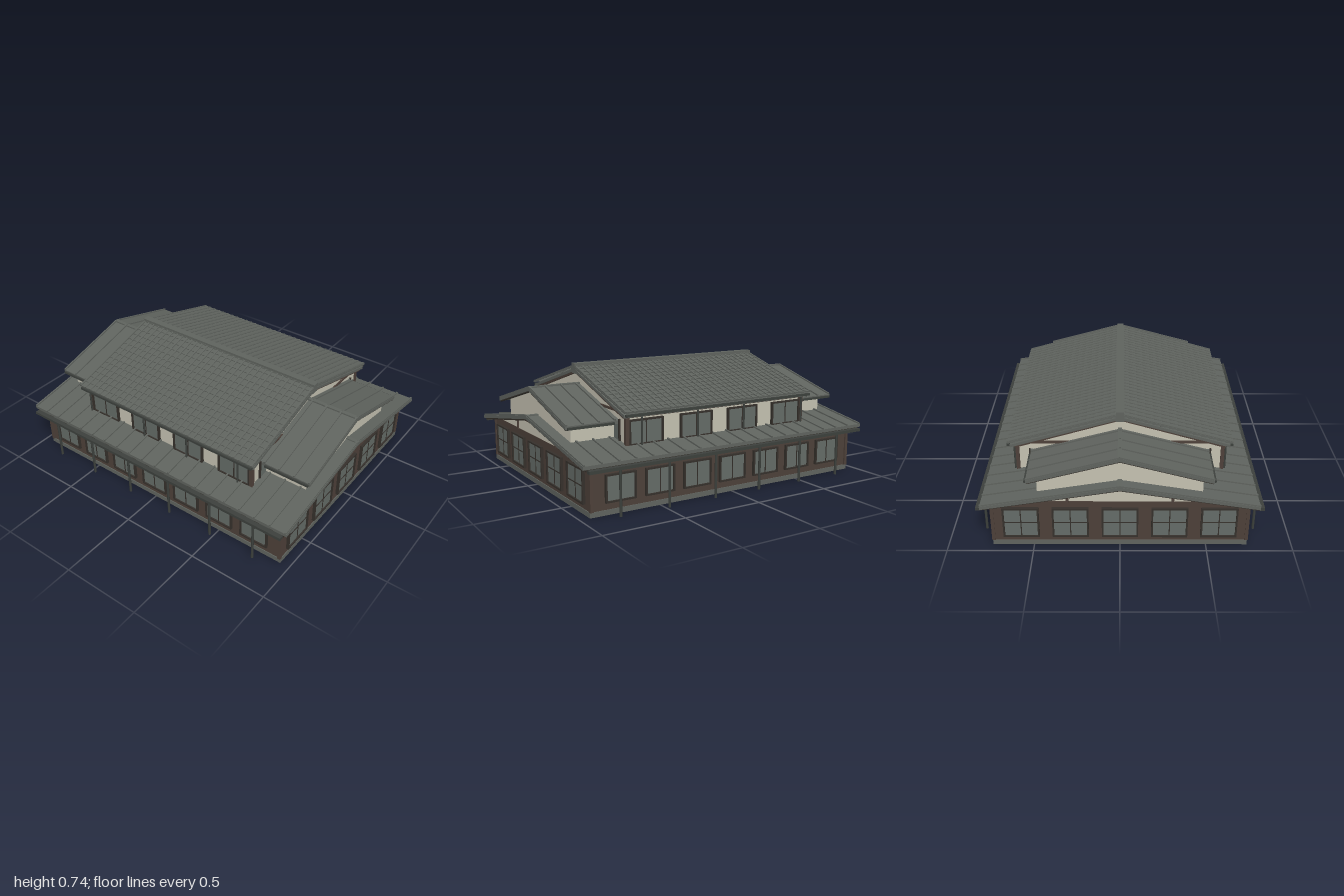
import * as THREE from 'three';

const mat = (name, color) => Object.assign(new THREE.MeshStandardMaterial({ color }), { name });

export function createModel() {
  const root = new THREE.Group();
  root.name = 'house';
  const roofGrey = mat('roof grey', 0x5f635e);
  const glass = mat('window glass', 0x646b67);
  const cream = mat('cream plaster', 0xc4c1b1);
  const brown = mat('brown timber', 0x4d4039);
  const dark = mat('dark timber', 0x35302b);
  const metal = mat('dark gutter metal', 0x3c403c);

  const box = (name, m, w, h, d, x, y, z, parent = root) => {
    const mesh = new THREE.Mesh(new THREE.BoxGeometry(w, h, d), m);
    mesh.name = name;
    mesh.position.set(x, y, z);
    parent.add(mesh);
    return mesh;
  };

  // Extrudes an outline in x,y along z between z0 and z1
  const prism = (name, m, pts, z0, z1) => {
    const shape = new THREE.Shape(pts.map(p => new THREE.Vector2(p[0], p[1])));
    const geo = new THREE.ExtrudeGeometry(shape, { depth: z1 - z0, bevelEnabled: false });
    const mesh = new THREE.Mesh(geo, m);
    mesh.name = name;
    mesh.position.z = z0;
    root.add(mesh);
  };

  // Gable wall block: rectangle with a pitched top
  const gableBlock = (name, m, w, y0, yEave, yTop, z) =>
    prism(name, m, [[-w, y0], [w, y0], [w, yEave], [0, yTop], [-w, yEave]], -z, z);

  // Chevron slab of vertical thickness t
  const chevron = (name, m, w, yEave, yTop, t, z0, z1) =>
    prism(name, m, [[-w, yEave - t], [0, yTop - t], [w, yEave - t], [w, yEave], [0, yTop], [-w, yEave]], z0, z1);

  // Box laid on both roof slopes, from ridge fraction a to eave fraction b
  const slopeBars = (name, m, w, yEave, yTop, a, b, z, depth, h, lift = 0, tilt = 0) => {
    const ang = Math.atan2(yTop - yEave, w), len = Math.hypot(w, yTop - yEave) * (b - a);
    const f = (a + b) / 2;
    for (const s of [-1, 1]) {
      const bar = box(name, m, len, h, depth, s * w * f, yTop + (yEave - yTop) * f + lift, z);
      bar.rotation.z = -s * (ang - tilt);
    }
  };

  // Window facing +z, turned by ry
  const addWindow = (name, x, y, z, ry, w, h, crossbar) => {
    const g = new THREE.Group();
    g.name = name;
    const t = 0.01;
    box('windowGlass', glass, w, h, 0.008, 0, 0, 0.004, g);
    for (const s of [-1, 1]) {
      box('windowJamb', dark, t, h + t, 0.022, s * w / 2, 0, 0.006, g);
      box('windowRail', dark, w, t, 0.022, 0, s * h / 2, 0.006, g);
    }
    box('windowMullion', dark, 0.006, h, 0.014, 0, 0, 0.004, g);
    if (crossbar) box('windowCrossbar', dark, w, 0.006, 0.014, 0, 0, 0.004, g);
    g.position.set(x, y, z);
    g.rotation.y = ry;
    root.add(g);
  };

  const pipe = (name, r, y0, y1, x, z) => {
    const mesh = new THREE.Mesh(new THREE.CylinderGeometry(r, r, y1 - y0, 8), metal);
    mesh.name = name;
    mesh.position.set(x, (y0 + y1) / 2, z);
    root.add(mesh);
  };

  // Ground floor
  box('foundation', roofGrey, 1.48, 0.03, 1.88, 0, 0.015, 0);
  box('lowerWall', brown, 1.47, 0.27, 1.87, 0, 0.165, 0);
  gableBlock('lowerGable', cream, 0.73, 0.29, 0.292, 0.412, 0.933);
  for (const s of [-1, 1]) {
    const ry = s > 0 ? 0 : Math.PI;
    for (let i = -2; i <= 2; i++)
      addWindow('lowerEndWindow', i * 0.285, 0.16, s * 0.935, ry, 0.2, 0.19, true);
    for (let k = -3; k <= 3; k++) {
      addWindow('lowerSideWindow', s * 0.735, 0.15, k * 0.251, s * Math.PI / 2, 0.18, 0.15, false);
    }
    box('gableTie', brown, 0.44, 0.016, 0.012, 0, 0.38, s * 0.936);
    for (const x of [-0.3, 0.3]) box('gableStrut', brown, 0.014, 0.08, 0.012, x, 0.335, s * 0.936);
    for (const z of [-0.93, 0.93]) box('lowerCornerPost', brown, 0.02, 0.26, 0.02, s * 0.735, 0.16, z);
  }

  // Lower roof with standing seams, gutters and downpipes
  chevron('lowerRoof', roofGrey, 0.79, 0.306, 0.437, 0.02, -1, 1);
  for (let i = 0; i <= 19; i++)
    slopeBars('lowerRoofSeam', roofGrey, 0.79, 0.306, 0.437, 0, 1, -0.992 + i * 0.1044, 0.01, 0.012, 0.003);
  for (const z of [-0.985, 0.985])
    slopeBars('lowerBargeboard', dark, 0.78, 0.284, 0.413, 0, 1, z, 0.012, 0.012);
  box('lowerRidgeCap', roofGrey, 0.025, 0.012, 2, 0, 0.436, 0);
  for (const s of [-1, 1]) {
    box('lowerGutter', metal, 0.03, 0.018, 1.95, s * 0.803, 0.274, 0);
    box('lowerFascia', dark, 0.012, 0.025, 1.96, s * 0.782, 0.285, 0);
    for (const z of [-0.785, -0.475, -0.16, 0.16, 0.475, 0.785])
      pipe('lowerDownpipe', 0.008, 0, 0.27, s * 0.8, z);
  }

  // Upper wings at both ends
  gableBlock('wingWall', cream, 0.47, 0.33, 0.46, 0.588, 0.92);
  for (const s of [-1, 1]) {
    const [z0, z1] = s > 0 ? [0.6, 0.975] : [-0.975, -0.6];
    chevron('wingRoof', roofGrey, 0.525, 0.466, 0.608, 0.02, z0, z1);
    for (let i = 0; i < 4; i++)
      slopeBars('wingRoofSeam', roofGrey, 0.525, 0.466, 0.608, 0, 1, s * (0.968 - i * 0.1), 0.01, 0.012, 0.003);
    slopeBars('wingBargeboard', dark, 0.52, 0.447, 0.588, 0, 1, s * 0.965, 0.012, 0.012);
    box('wingRidgeCap', roofGrey, 0.025, 0.012, 0.37, 0, 0.608, s * 0.79);
    for (const x of [-1, 1]) {
      box('wingGutter', metal, 0.016, 0.014, 0.29, x * 0.528, 0.452, s * 0.82);
      box('sidePanel', glass, 0.06, 0.14, 0.008, x * 0.5, 0.4, s * 0.644);
      box('sidePanelFrame', dark, 0.01, 0.15, 0.014, x * 0.533, 0.4, s * 0.644);
    }
  }

  // Upper storey
  gableBlock('upperWall', cream, 0.6, 0.32, 0.51, 0.68, 0.64);
  for (const s of [-1, 1]) {
    for (const z of [-0.513, -0.17, 0.17, 0.513])
      addWindow('upperSideWindow', s * 0.6, 0.405, z, s * Math.PI / 2, 0.215, 0.14, false);
    for (const z of [-0.638, 0.638])
      box('upperCornerPost', brown, 0.022, 0.19, 0.022, s * 0.606, 0.415, z);
    box('upperWallPlate', brown, 0.014, 0.016, 1.28, s * 0.603, 0.498, 0);
    box('upperGableTie', brown, 1.16, 0.014, 0.012, 0, 0.52, s * 0.643);
    for (const z of [-0.63, -0.17, 0.17, 0.55])
      pipe('upperDownpipe', 0.006, 0.33, 0.51, s * 0.625, z);
    box('upperGutter', metal, 0.018, 0.014, 1.34, s * 0.655, 0.514, 0);
    slopeBars('upperBargeboard', brown, 0.62, 0.502, 0.684, 0, 1, s * 0.66, 0.014, 0.018);
  }

  // Tiled main roof: stepped courses with ribs running down the slope
  chevron('upperRoofDeck', roofGrey, 0.645, 0.518, 0.703, 0.018, -0.675, 0.675);
  const courses = 14;
  for (let i = 0; i < courses; i++)
    slopeBars('tileCourse', roofGrey, 0.66, 0.53, 0.715, i / courses, Math.min(1, (i + 1.12) / courses),
      0, 1.355, 0.01, 0, 0.11);
  for (let i = 0; i <= 32; i++)
    slopeBars('tileRib', roofGrey, 0.66, 0.53, 0.715, 0, 1, -0.67 + i * 1.34 / 32, 0.011, 0.014, 0.004);
  box('upperRidgeBase', roofGrey, 0.05, 0.05, 1.35, 0, 0.695, 0);
  box('upperRidgeCap', roofGrey, 0.044, 0.02, 1.36, 0, 0.725, 0);

  return root;
}
